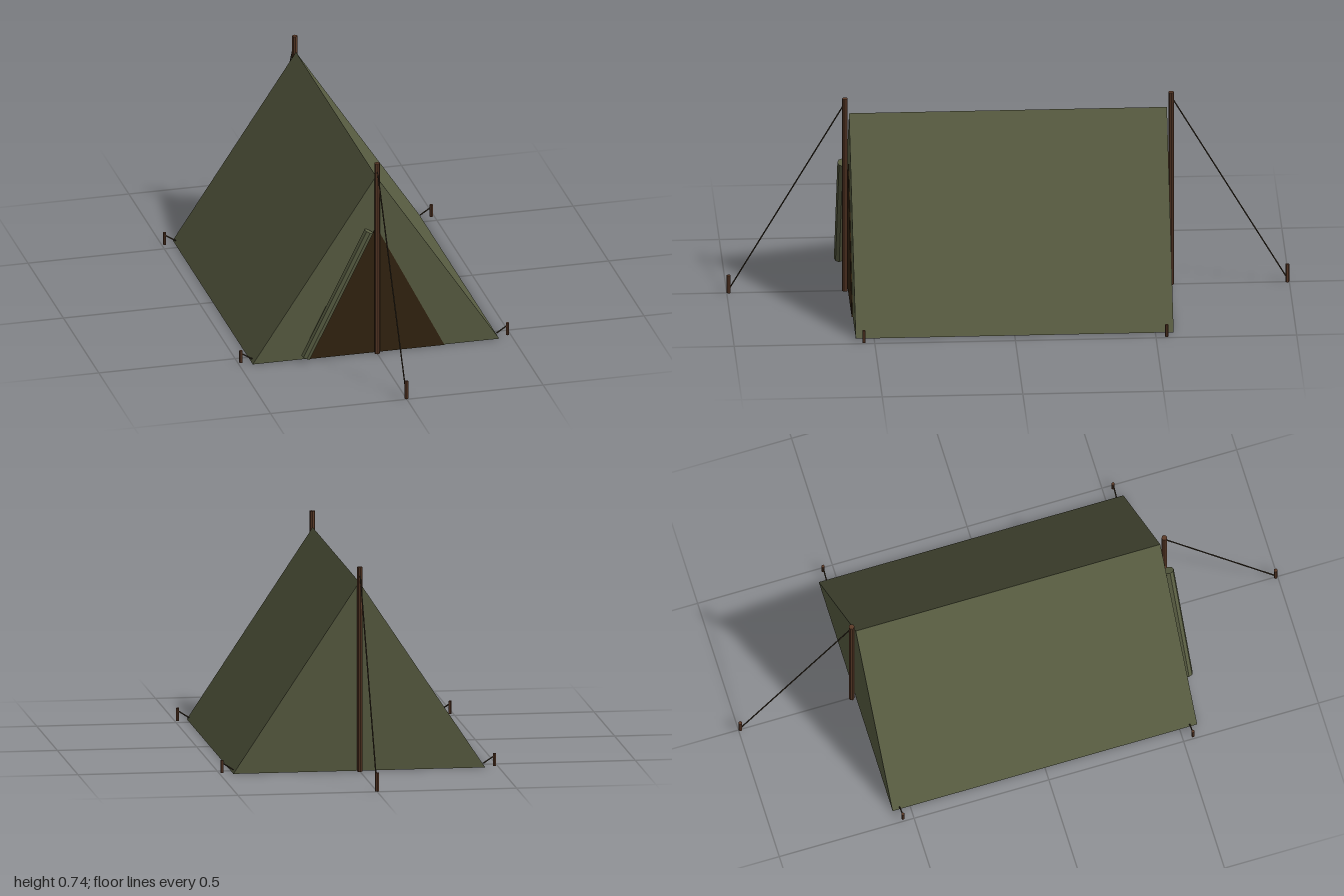
import * as THREE from 'three';

const mat = (name, color) => {
  const m = new THREE.MeshStandardMaterial({ color });
  m.name = name;
  return m;
};

export function createModel() {
  const canvas = mat('olive canvas', 0x595d42);
  const wood = mat('brown wood', 0x5c3b28);
  const rope = mat('dark rope', 0x3a3022);
  const inside = mat('dark interior', 0x332410);
  canvas.flatShading = wood.flatShading = true;

  const group = new THREE.Group();
  const add = (name, geometry, material) => {
    const mesh = new THREE.Mesh(geometry, material);
    mesh.name = name;
    group.add(mesh);
    return mesh;
  };

  // Triangular slab, centred on z = 0
  const wedge = (halfWidth, height, depth) => {
    const s = new THREE.Shape();
    s.moveTo(-halfWidth, 0);
    s.lineTo(halfWidth, 0);
    s.lineTo(0, height);
    s.closePath();
    return new THREE.ExtrudeGeometry(s, { depth, bevelEnabled: false }).translate(0, 0, -depth / 2);
  };

  // Cylinder running between two points
  const rod = (name, from, to, radius, sides, material) => {
    const a = new THREE.Vector3(...from), b = new THREE.Vector3(...to);
    const mesh = add(name, new THREE.CylinderGeometry(radius, radius, a.distanceTo(b), sides), material);
    mesh.position.copy(a).add(b).multiplyScalar(0.5);
    mesh.quaternion.setFromUnitVectors(new THREE.Vector3(0, 1, 0), b.sub(a).normalize());
    return mesh;
  };

  // Tent body with floor, and dark doorway
  add('tentBody', wedge(0.452, 0.68, 1.13), canvas);
  add('doorway', wedge(0.25, 0.485, 0.004), inside).position.z = 0.567;

  // Door flap rolled to one side
  rod('rolledFlap', [-0.264, 0.016, 0.587], [-0.032, 0.479, 0.587], 0.018, 8, canvas);

  for (const z of [1, -1]) {
    // Pole, guy rope and its stake at each end
    rod('pole', [0, 0, z * 0.58], [0, 0.737, z * 0.58], 0.01, 8, wood);
    rod('guyRope', [0, 0.715, z * 0.583], [0, 0.015, z * 0.992], 0.0025, 5, rope);
    rod('guyStake', [0, 0, z * 0.993], [0, 0.068, z * 0.993], 0.007, 6, wood);

    // Corner stakes and short ties
    for (const x of [1, -1]) {
      rod('cornerStake', [x * 0.489, 0, z * 0.538], [x * 0.489, 0.046, z * 0.538], 0.006, 6, wood);
      rod('cornerTie', [x * 0.448, 0.01, z * 0.538], [x * 0.488, 0.036, z * 0.538], 0.0025, 5, rope);
    }
  }
  return group;
}
